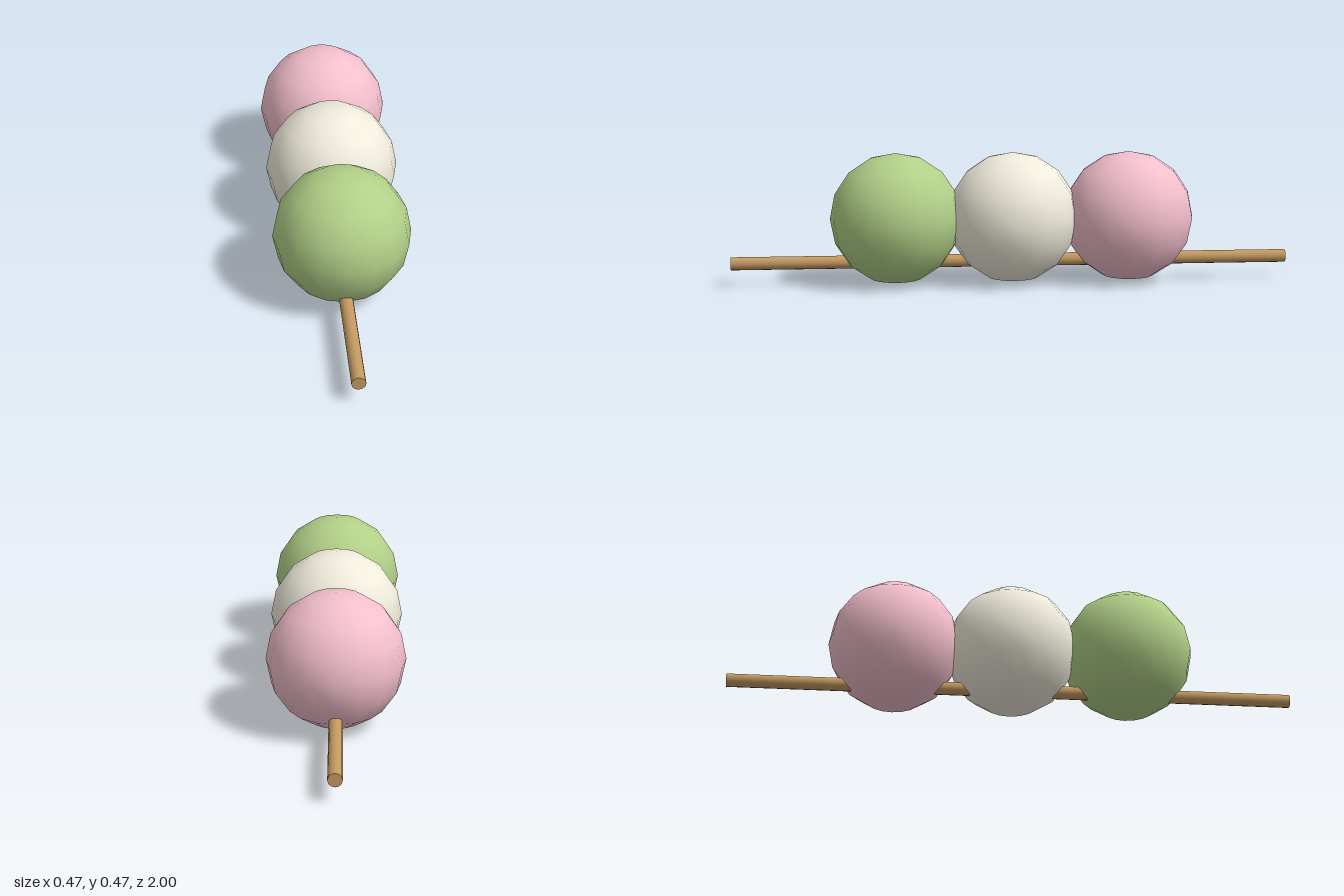
import * as THREE from 'three';

const RADIUS = 0.234;
const SPACING = 0.418;

function addPart(group, name, geometry, color, y, z) {
  const mesh = new THREE.Mesh(geometry, new THREE.MeshStandardMaterial({ color }));
  mesh.name = name;
  mesh.position.set(0, y, z);
  group.add(mesh);
}

export function createModel() {
  const group = new THREE.Group();
  group.name = 'dumplingSkewer';

  // Three overlapping dumplings, front to back
  const ball = new THREE.SphereGeometry(RADIUS, 16, 8);
  const dumplings = [
    ['greenDumpling', 0xb2d088],
    ['whiteDumpling', 0xf0ecdc],
    ['pinkDumpling', 0xf3bfcc],
  ];
  dumplings.forEach(([name, color], i) => {
    addPart(group, name, ball, color, RADIUS, (1 - i) * SPACING - 0.003);
  });

  // Thin wooden stick running through the lower part of the dumplings
  const stick = new THREE.CylinderGeometry(0.0235, 0.0235, 2, 12).rotateX(Math.PI / 2);
  addPart(group, 'stick', stick, 0xc49a62, 0.079, 0);

  return group;
}
